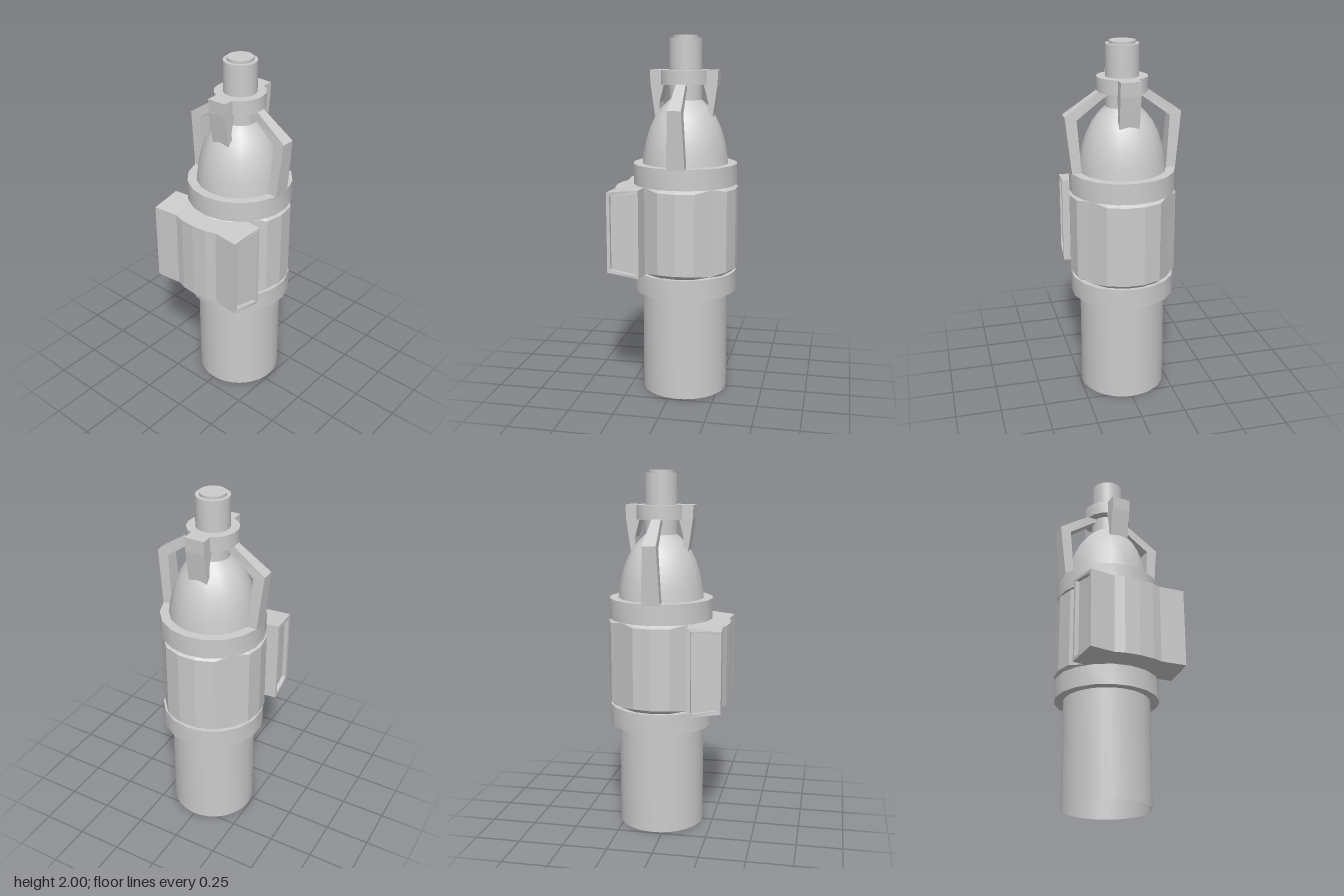
import * as THREE from 'three';
import { toCreasedNormals } from 'three/addons/utils/BufferGeometryUtils.js';

const AXIS_X = 0.05; // the round body stands off-centre, beside the side box
const smooth = new THREE.MeshStandardMaterial({ color: 0xcccccc });
const open = new THREE.MeshStandardMaterial({ color: 0xcccccc, side: THREE.DoubleSide });
const flat = new THREE.MeshStandardMaterial({ color: 0xcccccc, flatShading: true });

function add(parent, name, geometry, material) {
  const mesh = new THREE.Mesh(geometry, material);
  mesh.name = name;
  parent.add(mesh);
  return mesh;
}

// Turned part from [radius, y] pairs, bottom to top
function turned(parent, name, profile, segments = 18, material = smooth) {
  const pts = profile.map(([r, y]) => new THREE.Vector2(r, y));
  const g = new THREE.LatheGeometry(pts, segments, Math.PI / 2);
  return add(parent, name, toCreasedNormals(g, 0.6), material);
}

// Closed solid through a row of rings with equal point counts
function loft(rings) {
  const n = rings[0].length, tris = [];
  const tri = (a, b, c) => tris.push([a, b, c]);
  for (let i = 0; i < rings.length - 1; i++) {
    for (let j = 0; j < n; j++) {
      const k = (j + 1) % n;
      const [a, b, c, d] = [rings[i][j], rings[i][k], rings[i + 1][k], rings[i + 1][j]];
      tri(a, b, c);
      tri(a, c, d);
    }
  }
  const first = rings[0], last = rings[rings.length - 1];
  for (let j = 1; j < n - 1; j++) {
    tri(first[0], first[j + 1], first[j]);
    tri(last[0], last[j], last[j + 1]);
  }
  // turn the faces outward whatever the ring direction
  let volume = 0;
  for (const [a, b, c] of tris) volume += a.dot(b.clone().cross(c));
  const pts = tris.flatMap(([a, b, c]) => (volume < 0 ? [a, c, b] : [a, b, c]));
  const g = new THREE.BufferGeometry().setFromPoints(pts);
  g.computeVertexNormals();
  return g;
}

const V = (x, y, z) => new THREE.Vector3(x, y, z);

// Panelled drum: raised panels on four sides, shallow valleys on the diagonals
function drumGeometry() {
  const ring = (y, inset, reach) => Array.from({ length: 18 }, (_, i) => {
    const deg = 10 + 20 * i;
    const valley = [50, 130, 230, 310].includes(deg);
    const a = THREE.MathUtils.degToRad(deg);
    const r = (valley ? 0.276 : 0.295) - inset;
    return V(r * Math.cos(a), y + (valley ? reach : 0), r * Math.sin(a));
  });
  return loft([
    ring(0.7, 0.03, 0), ring(0.725, 0, -0.015),
    ring(1.175, 0, 0.015), ring(1.195, 0.03, 0),
  ]);
}

// Side box: bowed outer wall, both ends framed with a sunken panel
function boxGeometry() {
  const section = (zOut, zIn, xOut, xIn, m = 0) => [
    V(xOut + m, 0.725 + m, zOut), V(xIn - m, 0.702 + m, zIn),
    V(xIn - m, 1.19 - m, zIn), V(xOut + m, 1.172 - m, zOut),
  ];
  const half = [
    [0.262, 0.277, -0.33, -0.15, 0.018],
    [0.285, 0.3, -0.33, -0.15, 0.018],
    [0.285, 0.3, -0.33, -0.15],
    [0.14, 0.2, -0.316, -0.138],
    [0.085, 0.1, -0.333, -0.13],
  ];
  const back = half.map(([a, b, ...rest]) => section(-a, -b, ...rest));
  const front = half.map(([a, b, ...rest]) => section(a, b, ...rest)).reverse();
  return loft([...back, section(0, 0, -0.34, -0.13), ...front]);
}

// Bar running outward along +z; stations are [inner z, inner y, outer z, outer y, half width]
function barGeometry(stations) {
  return loft(stations.map(([zi, yi, zo, yo, w]) => [
    V(-w, yi, zi), V(w, yi, zi), V(w, yo, zo), V(-w, yo, zo),
  ]));
}

export function createModel() {
  const model = new THREE.Group();
  model.name = 'model';
  const body = new THREE.Group();
  body.name = 'body';
  body.position.x = AXIS_X;
  model.add(body);

  // Lower tube, open at the foot
  turned(body, 'lowerTube', [[0.24, 0], [0.24, 0.6]], 36, open);

  // Flanges above and below the drum
  for (const [name, y0, y1] of [['lowerFlange', 0.588, 0.702], ['upperFlange', 1.193, 1.307]]) {
    turned(body, name, [[0.15, y0], [0.29, y0], [0.29, y1], [0, y1]]);
  }
  turned(body, 'drumCore', [[0.24, 0.69], [0.24, 1.2]]);
  add(body, 'panelledDrum', drumGeometry(), flat);

  // Dome, neck, collar and top shaft
  turned(body, 'dome', [
    [0.24, 1.305], [0.232, 1.37], [0.218, 1.44], [0.195, 1.51],
    [0.165, 1.57], [0.13, 1.615], [0.09, 1.655], [0, 1.655],
  ]);
  turned(body, 'neck', [[0.09, 1.64], [0.09, 1.745]], 36);
  turned(body, 'collar', [[0.08, 1.737], [0.138, 1.737], [0.138, 1.815], [0, 1.815]]);
  turned(body, 'topShaft', [[0.09, 1.81], [0.09, 1.985], [0.07, 1.985], [0.07, 2], [0, 2]], 36);

  // Bent struts front and back, hooked fins on both sides
  const strut = barGeometry([
    [0.235, 1.3, 0.287, 1.3, 0.05],
    [0.255, 1.595, 0.319, 1.615, 0.037],
    [0.12, 1.695, 0.137, 1.74, 0.026],
    [0.08, 1.72, 0.09, 1.765, 0.025],
  ]);
  const fin = barGeometry([
    [0.1, 1.815, 0.188, 1.815, 0.055],
    [0.11, 1.737, 0.184, 1.737, 0.055],
    [0.135, 1.64, 0.172, 1.65, 0.055],
    [0.13, 1.56, 0.158, 1.555, 0.055],
  ]);
  ['frontStrut', 'leftFin', 'backStrut', 'rightFin'].forEach((name, i) => {
    add(body, name, i % 2 ? fin : strut, flat).rotation.y = (i * Math.PI) / 2;
  });

  add(model, 'sideBox', boxGeometry(), flat);
  return model;
}
